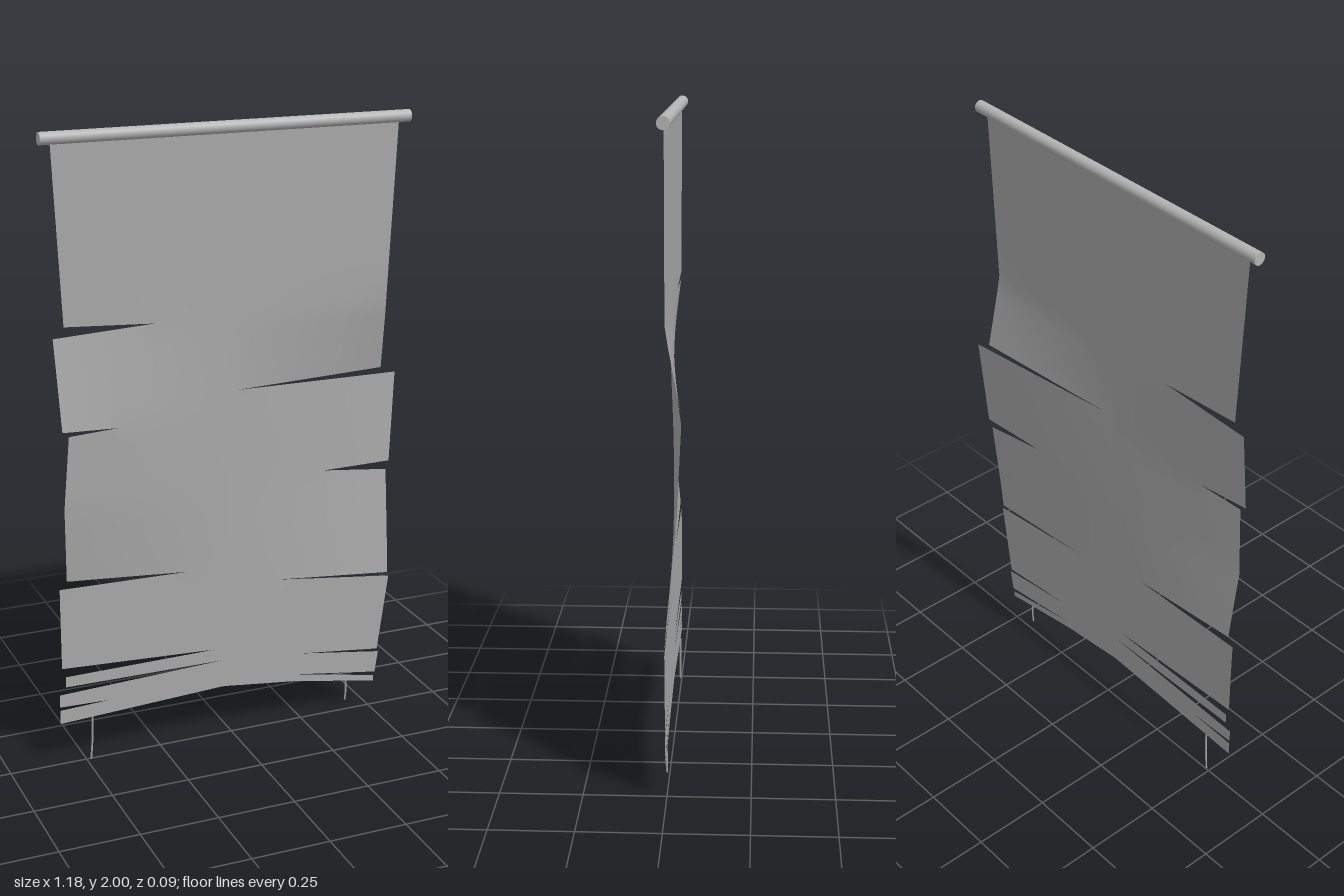
import * as THREE from 'three';
import { mergeVertices } from 'three/addons/utils/BufferGeometryUtils.js';

const SPINE = -0.02, Z0 = 0.004, COLS = 5, ROWS = 4;

// Each strip lies between two tears: top tear tip, outer edge points from top to bottom,
// bottom tear tip. A tip is [x, y, optional y at the spine].
const leftStrips = [
  { top: [-0.25, 1.965], edge: [[-0.56, 1.965], [-0.535, 1.425]], bottom: [-0.25, 1.408] },
  { top: [-0.25, 1.408], edge: [[-0.57, 1.393], [-0.56, 1.113]], bottom: [-0.38, 1.103] },
  { top: [-0.38, 1.103], edge: [[-0.54, 1.098], [-0.558, 0.865], [-0.55, 0.622]], bottom: [-0.15, 0.59] },
  { top: [-0.15, 0.59], edge: [[-0.573, 0.597], [-0.573, 0.33]], bottom: [-0.06, 0.305] },
  { top: [-0.06, 0.305], edge: [[-0.562, 0.3], [-0.562, 0.265]], bottom: [-0.035, 0.262] },
  { top: [-0.035, 0.262], edge: [[-0.583, 0.241], [-0.583, 0.199]], bottom: [-0.42, 0.195] },
  { top: [-0.42, 0.195], edge: [[-0.583, 0.188], [-0.583, 0.142]], bottom: [-0.035, 0.169, 0.168] },
];
const rightStrips = [
  { top: [0.25, 1.965], edge: [[0.553, 1.965], [0.527, 1.42], [0.537, 1.173]], bottom: [0.02, 1.168] },
  { top: [0.02, 1.168], edge: [[0.59, 1.151], [0.57, 0.855]], bottom: [0.33, 0.857] },
  { top: [0.33, 0.857], edge: [[0.558, 0.828], [0.558, 0.476]], bottom: [0.16, 0.513] },
  { top: [0.16, 0.513], edge: [[0.563, 0.463], [0.527, 0.204]], bottom: [0.246, 0.236] },
  { top: [0.246, 0.236], edge: [[0.532, 0.193], [0.521, 0.12]], bottom: [0.23, 0.163, 0.19] },
  { top: [0.23, 0.163, 0.19], edge: [[0.516, 0.108], [0.516, 0.088]], bottom: [0.22, 0.14, 0.168] },
];

const lerp = THREE.MathUtils.lerp;

// Strength of the twist at a height, from [y, amount] knots
function twist(knots, y) {
  for (let i = 0; i < knots.length - 1; i++) {
    const [y0, a0] = knots[i], [y1, a1] = knots[i + 1];
    if (y <= y0 && y >= y1) return lerp(a0, a1, (y0 - y) / (y0 - y1));
  }
  return 0;
}
const leftTwist = [[1.41, 0], [1.11, 0.07], [0.865, 0.052], [0.59, 0]];
const rightTwist = [[1.41, 0], [1.17, 0.083], [0.855, 0.06], [0.5, 0]];
const clothZ = (x, y) => Z0 - (x - SPINE) * twist(x < SPINE ? leftTwist : rightTwist, y);

// One row of points: spine, tear tip, outer edge
function row(tip, edge) {
  const pts = [], spineY = tip[2] ?? tip[1];
  for (let i = 0; i <= 2 * COLS; i++) {
    const t = i / COLS;
    pts.push(t < 1
      ? [lerp(SPINE, tip[0], t), lerp(spineY, tip[1], t)]
      : [lerp(tip[0], edge[0], t - 1), lerp(tip[1], edge[1], t - 1)]);
  }
  return pts;
}

function addStrip(strip, right, pos, index) {
  const { top, edge, bottom } = strip;
  const yTop = edge[0][1], yEnd = edge[edge.length - 1][1];
  const rows = edge.map((e, i) => {
    if (i === 0) return row(top, e);
    if (i === edge.length - 1) return row(bottom, e);
    const k = (yTop - e[1]) / (yTop - yEnd);
    return row([lerp(top[0], bottom[0], k), lerp(top[1], bottom[1], k)], e);
  });
  const w = 2 * COLS + 1, start = pos.length / 3, count = (rows.length - 1) * ROWS;
  for (let r = 0; r <= count; r++) {
    const a = Math.min(Math.floor(r / ROWS), rows.length - 2), k = r / ROWS - a;
    for (let c = 0; c < w; c++) {
      const x = lerp(rows[a][c][0], rows[a + 1][c][0], k);
      const y = lerp(rows[a][c][1], rows[a + 1][c][1], k);
      pos.push(x, y, clothZ(x, y));
    }
  }
  for (let r = 0; r < count; r++) {
    for (let c = 0; c < w - 1; c++) {
      const p = start + r * w + c, q = p + w;
      if (right) index.push(p, q, p + 1, p + 1, q, q + 1);
      else index.push(p, p + 1, q, p + 1, q + 1, q);
    }
  }
}

function clothGeometry() {
  const pos = [], index = [];
  leftStrips.forEach((s) => addStrip(s, false, pos, index));
  rightStrips.forEach((s) => addStrip(s, true, pos, index));
  let geo = new THREE.BufferGeometry();
  geo.setAttribute('position', new THREE.Float32BufferAttribute(pos, 3));
  geo.setIndex(index);
  geo = mergeVertices(geo, 1e-5);
  geo.computeVertexNormals();
  return geo;
}

export function createModel() {
  const group = new THREE.Group();
  group.name = 'tornBanner';
  const clothMat = new THREE.MeshStandardMaterial({ color: 0xa8a8a8, side: THREE.DoubleSide });
  clothMat.name = 'cloth grey';
  const rodMat = new THREE.MeshStandardMaterial({ color: 0xb4b4b4 });
  rodMat.name = 'rod grey';

  const add = (name, geo, mat) => {
    const mesh = new THREE.Mesh(geo, mat);
    mesh.name = name;
    group.add(mesh);
    return mesh;
  };

  // Hanging rod
  const rod = add('rod', new THREE.CylinderGeometry(0.019, 0.019, 1.182, 24).rotateZ(Math.PI / 2), rodMat);
  rod.position.set(-0.003, 1.981, Z0);

  // Torn cloth
  add('cloth', clothGeometry(), clothMat);

  // Loose threads at the hem
  const threads = {
    rightThread: [[-0.478, 0.147], [-0.48, 0.07], [-0.486, 0]],
    leftThread: [[0.413, 0.108], [0.414, 0.07], [0.411, 0.038]],
  };
  for (const [name, pts] of Object.entries(threads)) {
    const curve = new THREE.CatmullRomCurve3(pts.map(([x, y]) => new THREE.Vector3(x, y, Z0)));
    add(name, new THREE.TubeGeometry(curve, 8, 0.003, 6), clothMat);
  }
  return group;
}
